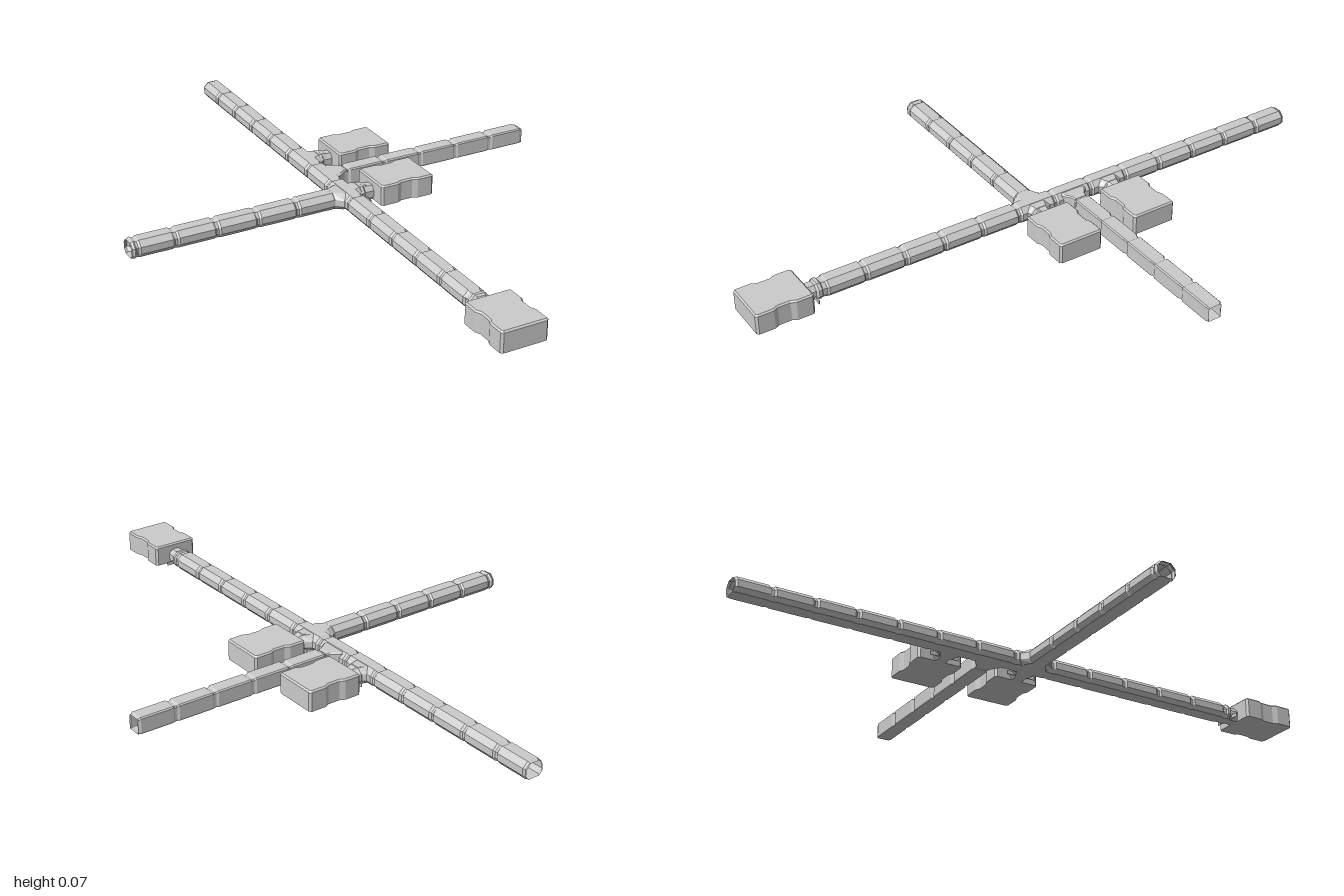
import * as THREE from 'three';

const material = new THREE.MeshStandardMaterial({ color: 0xcccccc, flatShading: true });
const openMaterial = new THREE.MeshStandardMaterial({ color: 0xcccccc, flatShading: true, side: THREE.DoubleSide });

// Cross-sections, counter-clockwise, floor at y = 0
const OCTAGON = [[-0.024, 0], [0.024, 0], [0.035, 0.014], [0.035, 0.036], [0.018, 0.053], [-0.018, 0.053], [-0.035, 0.036], [-0.035, 0.014]];
const SQUARE = [[-0.025, 0], [0.025, 0], [0.026, 0.004], [0.026, 0.048], [0.022, 0.052], [-0.022, 0.052], [-0.026, 0.048], [-0.026, 0.004]];
const PITCH = 0.136;

// Open tube along +z through rings of [z, width scale, height scale]
function tube(section, rings) {
  const n = section.length, pos = [], index = [];
  for (const [z, sx, sy] of rings) for (const [x, y] of section) pos.push(x * sx, y * sy, z);
  for (let r = 0; r < rings.length - 1; r++) {
    for (let i = 0; i < n; i++) {
      const a = r * n + i, b = r * n + (i + 1) % n;
      index.push(a, b, b + n, a, b + n, a + n);
    }
  }
  const indexed = new THREE.BufferGeometry();
  indexed.setAttribute('position', new THREE.Float32BufferAttribute(pos, 3));
  indexed.setIndex(index);
  const geometry = indexed.toNonIndexed();
  geometry.computeVertexNormals();
  return geometry;
}

// Segmented corridor: every segment steps in to a shallow groove at its joints
function corridor(section, lengths) {
  const rings = [];
  let z = 0;
  for (const l of lengths) {
    rings.push([z, 0.86, 0.93], [z + 0.004, 0.86, 0.93], [z + 0.01, 1, 1], [z + l - 0.01, 1, 1], [z + l - 0.004, 0.86, 0.93], [z + l, 0.86, 0.93]);
    z += l;
  }
  return tube(section, rings);
}

// Block-shaped room with pinched sides and a bevelled roof; its door faces -z
function roomGeometry() {
  const w = 0.077, l = 0.188, c = 0.007, p = 0.069;
  const side = [[w - c, 0], [w, c], [w, 0.058], [p, 0.074], [p, 0.114], [w, 0.13], [w, l - c], [w - c, l]];
  const outline = [...side, ...side.map(([x, z]) => [-x, z]).reverse()];
  const shape = new THREE.Shape(outline.map(([x, z]) => new THREE.Vector2(x, -z)));
  const geometry = new THREE.ExtrudeGeometry(shape, { depth: 0.063, bevelThickness: 0.005, bevelSize: 0.005, bevelOffset: -0.005, bevelSegments: 1 });
  geometry.rotateX(-Math.PI / 2);
  const pos = geometry.attributes.position;
  for (let i = 0; i < pos.count; i++) pos.setY(i, Math.max(0, pos.getY(i)));
  geometry.computeVertexNormals();
  return geometry;
}

export function createModel() {
  const model = new THREE.Group();
  const cx = -0.003, crossZ = 0.005, teeZ = crossZ - PITCH, upperZ = teeZ - PITCH;
  const LEFT = Math.PI / 2, RIGHT = -Math.PI / 2;

  function add(name, geometry, x, z, turn = 0, mat = openMaterial, y = 0) {
    const mesh = new THREE.Mesh(geometry, mat);
    mesh.name = name;
    mesh.position.set(x, y, z);
    mesh.rotation.y = turn;
    model.add(mesh);
  }
  const repeat = (count, last) => [...Array(count).fill(PITCH), ...(last ? [last] : [])];

  // Long corridor, front and back of the junctions
  add('frontCorridor', corridor(OCTAGON, repeat(5)), cx, crossZ + PITCH / 2);
  add('backCorridor', corridor(OCTAGON, repeat(4, 1 + upperZ - PITCH / 2 - 4 * PITCH)), cx, upperZ - PITCH / 2, Math.PI);

  // Three junctions in a row
  for (const z of [crossZ, teeZ, upperZ]) add('junction', corridor(OCTAGON, [PITCH]), cx, z - PITCH / 2);

  // Flared branch openings
  const flare = (section, width) => tube(section, [[0, width * 2.1, 0.98], [0.032, width * 1.75, 0.98], [0.056, width, 0.98], [0.068, width * 0.92, 0.93]]);
  add('rightFlare', flare(OCTAGON, 0.95), cx, crossZ, RIGHT);
  add('leftFlare', flare(OCTAGON, 0.72), cx, crossZ, LEFT);
  add('leftFlare', flare(OCTAGON, 0.72), cx, upperZ, LEFT);
  add('leftFlare', flare(SQUARE, 0.95), cx, teeZ, LEFT);

  // Side corridors
  add('rightCorridor', corridor(OCTAGON, repeat(4, 0.125)), cx - 0.049, crossZ, RIGHT);
  add('rightEndFrame', corridor(OCTAGON, [0.022]), -0.718, crossZ, RIGHT);
  add('leftCorridor', corridor(SQUARE, repeat(4, 0.13)), 0.066, teeZ, LEFT);

  // Rooms, each with a neck, a collar and a thin door sill
  const room = roomGeometry();
  const neck = tube(OCTAGON, [[-0.062, 0.8, 0.93], [-0.05, 0.8, 0.93], [-0.046, 0.94, 1], [-0.036, 0.94, 1], [-0.03, 0.7, 0.9], [0.004, 0.7, 0.9]]);
  const sill = new THREE.BoxGeometry(0.1, 0.012, 0.003);
  const rooms = [[cx, 0.812, 0], [0.082, crossZ + 0.004, LEFT], [0.082, upperZ, LEFT]];
  for (const [x, z, turn] of rooms) {
    add('room', room, x, z, turn, material);
    add('roomNeck', neck, x, z, turn);
    add('doorSill', sill, x - 0.025 * Math.sin(turn), z - 0.025 * Math.cos(turn), turn, material, 0.01);
  }
  return model;
}
